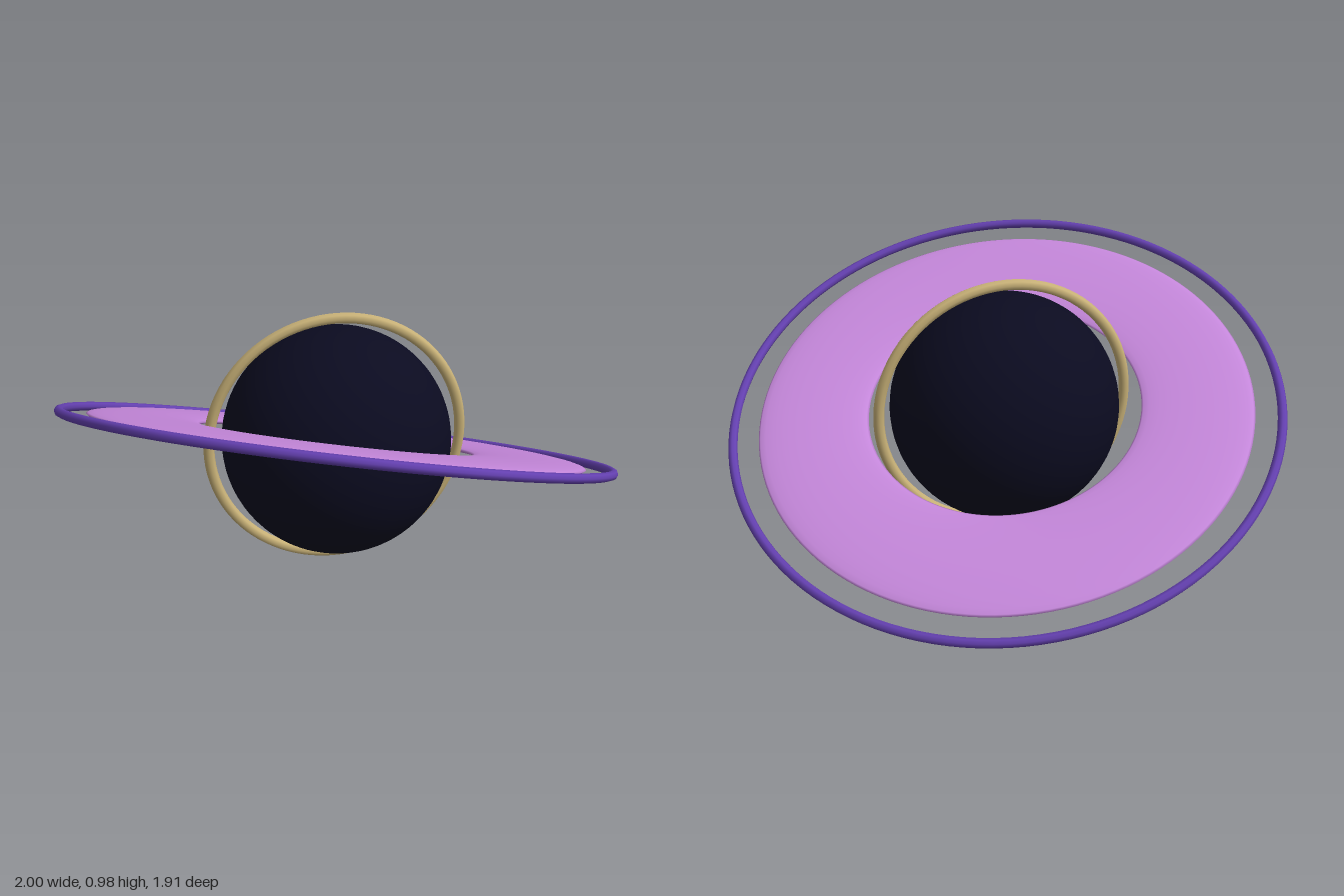
import * as THREE from 'three';

const material = (name, color) => {
  const m = new THREE.MeshStandardMaterial({ color });
  m.name = name;
  return m;
};

export function createModel() {
  const model = new THREE.Group();
  model.name = 'ringedPlanet';

  const navy = material('midnightNavy', 0x0b0b20);
  const gold = material('paleGold', 0xc9b278);
  const lilac = material('lilac', 0xc688dc);
  const violet = material('deepViolet', 0x6440b0);

  const add = (parent, name, geometry, mat) => {
    const mesh = new THREE.Mesh(geometry, mat);
    mesh.name = name;
    parent.add(mesh);
    return mesh;
  };

  // Everything shares one centre
  const body = new THREE.Group();
  body.name = 'body';
  body.position.y = 0.49;
  model.add(body);

  add(body, 'planet', new THREE.SphereGeometry(0.419, 64, 48), navy);

  // Upright hoop facing the front
  add(body, 'uprightHoop', new THREE.TorusGeometry(0.469, 0.02, 8, 96), gold);

  // Ring system: high at the front, low towards +x
  const rings = new THREE.Group();
  rings.name = 'tiltedRings';
  const axis = new THREE.Vector3(0.19, 0.92, -0.34).normalize();
  rings.quaternion.setFromUnitVectors(new THREE.Vector3(0, 0, 1), axis);
  body.add(rings);

  // Broad disc: a strongly flattened torus
  const disc = new THREE.TorusGeometry(0.703, 0.203, 24, 128);
  disc.scale(1, 1, 0.1);
  add(rings, 'broadRing', disc, lilac);

  add(rings, 'outerRing', new THREE.TorusGeometry(1.001, 0.017, 8, 128), violet);

  return model;
}
